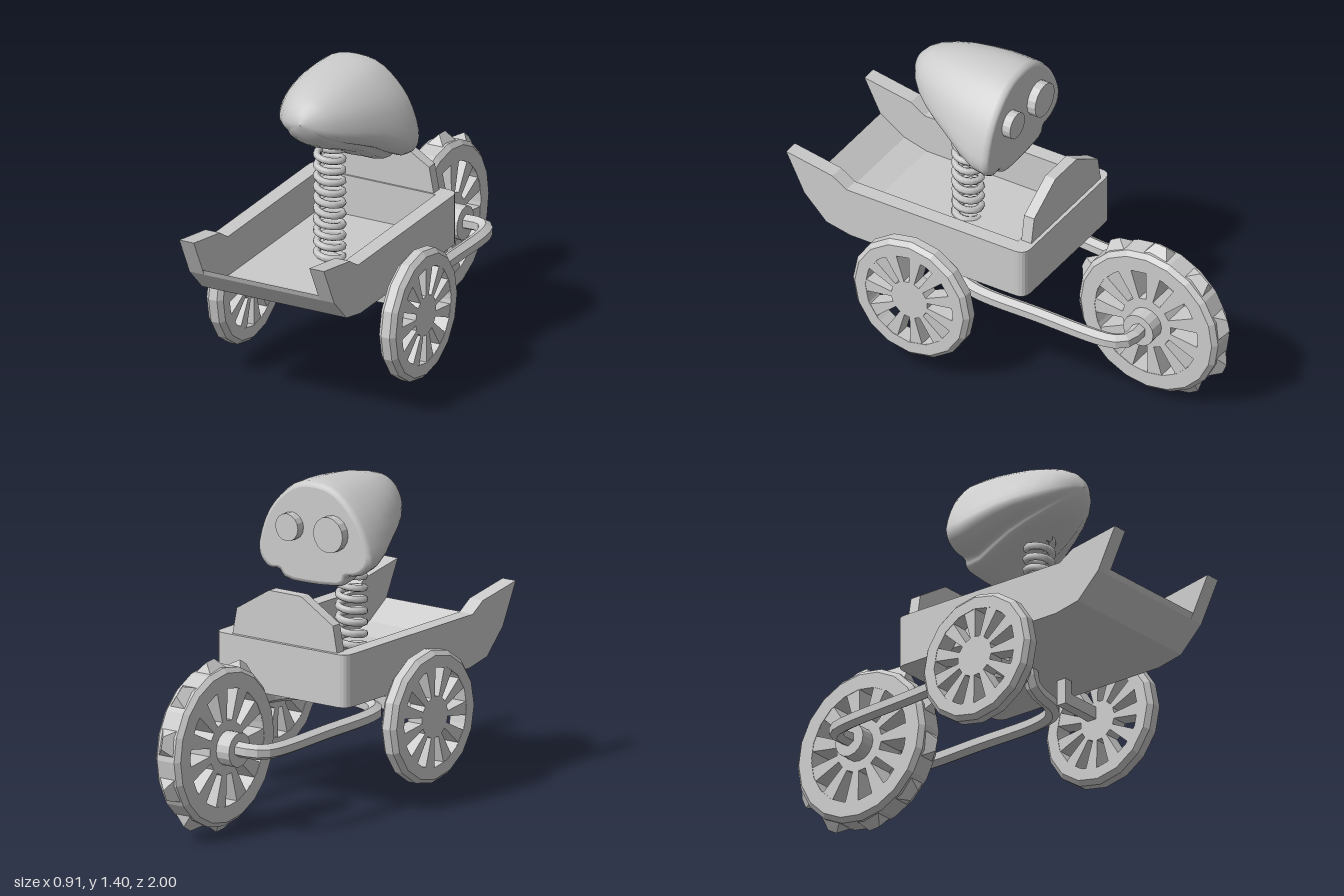
import * as THREE from 'three';
import { ConvexGeometry } from 'three/addons/geometries/ConvexGeometry.js';

const flat = new THREE.MeshStandardMaterial({ color: 0xcccccc, flatShading: true, side: THREE.DoubleSide });
const smooth = new THREE.MeshStandardMaterial({ color: 0xcccccc, side: THREE.DoubleSide });
const V = (x, y, z) => new THREE.Vector3(x, y, z);
const CX = -0.012; // the cart body sits slightly off centre

function add(parent, name, geometry, x = 0, y = 0, z = 0, material = flat) {
  const mesh = new THREE.Mesh(geometry, material);
  mesh.name = name;
  mesh.position.set(x, y, z);
  parent.add(mesh);
  return mesh;
}

const shapeOf = pts => new THREE.Shape(pts.map(p => new THREE.Vector2(...p)));

// Extrude a (z, y) outline across x, centred on x = 0
function extrudeX(shape, width) {
  return new THREE.ExtrudeGeometry(shape, { depth: width, bevelEnabled: false, curveSegments: 6 })
    .translate(0, 0, -width / 2).rotateY(-Math.PI / 2);
}

// Disc with wedge windows inside a chamfered rim; axle along x
function wheel(name, R, half, winIn, winOut, windows, sides) {
  const g = new THREE.Group();
  g.name = name;
  const ch = 0.02;
  const profile = [[winOut, -half], [R - ch, -half], [R, -half + ch], [R, half - ch],
    [R - ch, half], [winOut, half], [winOut, -half]].map(p => new THREE.Vector2(...p));
  add(g, 'rim', new THREE.LatheGeometry(profile, sides).rotateZ(Math.PI / 2));
  const disc = new THREE.Shape().absarc(0, 0, winOut + 0.015, 0, Math.PI * 2);
  for (let i = 0; i < windows; i++) {
    const a = Math.PI / 2 - 0.16 + i / windows * Math.PI * 2;
    const w = Math.PI / windows * 0.52;
    const p = (r, t) => new THREE.Vector2(r * Math.cos(t), r * Math.sin(t));
    disc.holes.push(new THREE.Path([p(winIn, a - w), p(winOut, a - w), p(winOut, a + w), p(winIn, a + w)]));
  }
  add(g, 'spokedDisc', extrudeX(disc, half * 2 - 0.004));
  return g;
}

// Lofted head: flat at the back, lobed underneath, tapering to a round nose
function headGeometry() {
  const outline = [[0, 1], [0.34, 0.96], [0.64, 0.81], [0.86, 0.61], [1, 0.32], [0.98, 0.19], [0.83, 0.09],
    [0.64, 0.09], [0.53, 0.015], [0, 0], [-0.22, 0.01], [-0.52, 0.05], [-0.56, 0.125], [-0.78, 0.16],
    [-0.96, 0.25], [-1, 0.35], [-0.86, 0.61], [-0.64, 0.81], [-0.34, 0.96]];
  const curve = new THREE.CatmullRomCurve3(outline.map(([u, v]) => V(u, v, 0)), true, 'centripetal');
  const N = 48;
  const ring = curve.getPoints(N).slice(0, N);
  // z, half width, top, bottom
  const sections = [[0.04, 0.275, 1.37, 0.965], [0.045, 0.29, 1.385, 0.95], [0.065, 0.298, 1.393, 0.945],
    [0.12, 0.295, 1.396, 0.955], [0.19, 0.28, 1.394, 0.985], [0.27, 0.25, 1.388, 1.03], [0.35, 0.216, 1.38, 1.065],
    [0.42, 0.178, 1.366, 1.095], [0.48, 0.136, 1.348, 1.13], [0.52, 0.096, 1.325, 1.165],
    [0.548, 0.052, 1.295, 1.205], [0.56, 0.001, 1.251, 1.249]];
  const pos = [], idx = [];
  sections.forEach(([z, w, top, bot], i) => ring.forEach((p, j) => {
    // blend the lobed outline into an oval towards the nose
    const a = j / N * Math.PI * 2, t = Math.max(0, (i - 3) / (sections.length - 4));
    const ang = Math.atan2(p.x, p.y - 0.45);
    const u = THREE.MathUtils.lerp(p.x, Math.sin(ang), t);
    const v = THREE.MathUtils.lerp(p.y, 0.5 + 0.5 * Math.cos(ang), t);
    pos.push(-0.018 + w * u, bot + (top - bot) * v, z);
    if (i < sections.length - 1) {
      const q = i * N + j, r = i * N + (j + 1) % N;
      idx.push(q, q + N, r, r, q + N, r + N);
    }
  }));
  // flat back cap with its own vertices
  const base = pos.length / 3;
  pos.push(...pos.slice(0, N * 3), -0.018, 1.17, 0.04);
  for (let j = 0; j < N; j++) idx.push(base + N, base + j, base + (j + 1) % N);
  const g = new THREE.BufferGeometry();
  g.setAttribute('position', new THREE.Float32BufferAttribute(pos, 3));
  g.setIndex(idx);
  g.computeVertexNormals();
  return g;
}

export function createModel() {
  const model = new THREE.Group();
  model.name = 'springHeadTricycleCart';

  // Cart: side rails, upswept floor, rounded rear wall, backrest
  const cart = new THREE.Group();
  cart.name = 'cart';
  cart.position.x = CX;
  model.add(cart);
  const side = shapeOf([[-0.11, 0.505], [0.68, 0.505], [0.8, 0.53], [0.91, 0.64], [1, 0.82],
    [0.77, 0.78], [0.7, 0.735], [-0.11, 0.735]]);
  for (const s of [-1, 1]) add(cart, s > 0 ? 'leftRail' : 'rightRail', extrudeX(side, 0.07), s * 0.313);
  const floor = shapeOf([[-0.11, 0.505], [0.68, 0.505], [0.8, 0.53], [0.91, 0.64], [0.92, 0.665],
    [0.8, 0.585], [0.69, 0.555], [-0.11, 0.555]]);
  add(cart, 'floor', extrudeX(floor, 0.556));
  const r = 0.05, W = 0.348;
  const plan = new THREE.Shape();
  plan.moveTo(-W, 0.11).lineTo(W, 0.11).lineTo(W, 0.185 - r)
    .quadraticCurveTo(W, 0.185, W - r, 0.185).lineTo(-W + r, 0.185)
    .quadraticCurveTo(-W, 0.185, -W, 0.185 - r);
  add(cart, 'rearWall', new THREE.ExtrudeGeometry(plan, { depth: 0.23, bevelEnabled: false, curveSegments: 5 })
    .rotateX(-Math.PI / 2), 0, 0.505);
  const back = shapeOf([[-0.278, 0.73], [0.278, 0.73], [0.255, 0.85], [0.085, 0.953], [-0.085, 0.953], [-0.255, 0.85]]);
  add(cart, 'backrest', new THREE.ExtrudeGeometry(back, { depth: 0.05, bevelEnabled: false }), -0.012, 0, -0.168);

  // Coil spring carrying the head
  const coil = [], turns = 10.5, steps = 16 * turns;
  for (let i = 0; i <= steps; i++) {
    const a = i / 16 * Math.PI * 2;
    coil.push(V(0.056 * Math.sin(a), 1.07 - 0.05 * i / 16, 0.056 * Math.cos(a)));
  }
  add(model, 'spring', new THREE.TubeGeometry(new THREE.CatmullRomCurve3(coil), steps, 0.016, 6), CX, 0, 0.312, smooth);

  // Head and the two round studs on its back
  add(model, 'head', headGeometry(), 0, 0, 0, smooth);
  for (const [x, rad] of [[-0.124, 0.078], [0.095, 0.06]])
    add(model, 'headStud', new THREE.CylinderGeometry(rad, rad, 0.06, 16).rotateX(Math.PI / 2), x, 1.187, 0.03);

  // Front wheels on L-shaped brackets, and the curved fork arms
  for (const s of [-1, 1]) {
    const label = s > 0 ? 'left' : 'right';
    const w = wheel(label + 'FrontWheel', 0.29, 0.04, 0.09, 0.218, 11, 16);
    w.position.set(s * 0.415, 0.38, 0.315);
    model.add(w);
    add(model, label + 'Axle', new THREE.BoxGeometry(0.215, 0.055, 0.045), s * 0.2775, 0.418, 0.285);
    add(model, label + 'AxlePost', new THREE.BoxGeometry(0.04, 0.12, 0.045), s * 0.19, 0.45, 0.285);
    const arm = [[0.1, 0.385, -0.625], [0.21, 0.385, -0.625], [0.25, 0.383, -0.58], [0.272, 0.395, -0.2],
      [0.275, 0.403, 0.08], [0.24, 0.405, 0.18], [0.17, 0.41, 0.225], [0.08, 0.42, 0.235],
      [0.035, 0.45, 0.235], [0.02, 0.52, 0.235]].map(([x, y, z]) => V(s * x, y, z));
    add(model, label + 'ForkArm', new THREE.TubeGeometry(
      new THREE.CatmullRomCurve3(arm, false, 'centripetal'), 30, 0.034, 6));
  }

  // Spiked rear wheel with hub
  const rear = wheel('rearWheel', 0.345, 0.065, 0.12, 0.257, 11, 20);
  rear.position.set(0, 0.38, -0.622);
  model.add(rear);
  add(rear, 'hub', new THREE.CylinderGeometry(0.075, 0.075, 0.26, 16).rotateZ(Math.PI / 2));
  const deg = Math.PI / 180;
  for (let i = 0; i < 10; i++) {
    const at = (x, rad, d) => V(x, rad * Math.cos((d + i * 36) * deg), -rad * Math.sin((d + i * 36) * deg));
    add(rear, 'spike', new ConvexGeometry([
      at(-0.05, 0.33, -7), at(0.05, 0.33, -7), at(-0.05, 0.33, 16), at(0.05, 0.33, 16),
      at(0, 0.38, 1), at(0, 0.38, 9)]));
  }
  return model;
}
